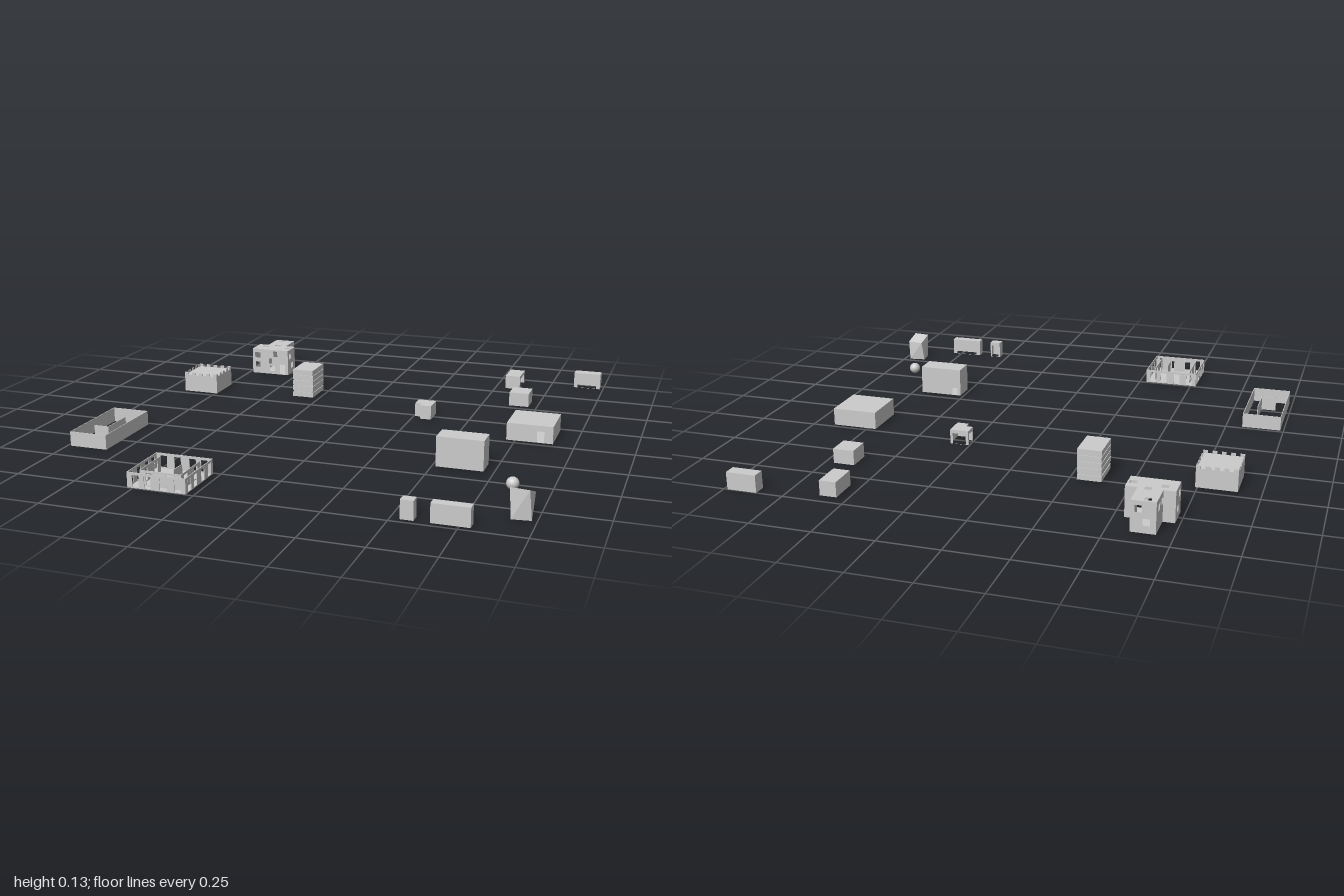
import * as THREE from 'three';
import { mergeGeometries } from 'three/addons/utils/BufferGeometryUtils.js';

const solid = new THREE.MeshStandardMaterial({ color: 0xcccccc, flatShading: true });
const thin = new THREE.MeshStandardMaterial({ color: 0xcccccc, flatShading: true, side: THREE.DoubleSide });
const smooth = new THREE.MeshStandardMaterial({ color: 0xcccccc });

const shapeOf = (pts) => new THREE.Shape(pts.map(([x, y]) => new THREE.Vector2(x, y)));

// opening = [centre, bottom, width, height]
function cut(shape, openings = []) {
  for (const [c, y, w, h] of openings) {
    const a = c - w / 2, b = c + w / 2, y0 = Math.max(y, 0.001);
    shape.holes.push(shapeOf([[a, y0], [a, y + h], [b, y + h], [b, y0]]));
  }
  return shape;
}

// Vertical panel from a to b (x, z), facing outward, with optional thickness inward
function wall(a, b, h, openings, depth = 0) {
  const dx = b[0] - a[0], dz = b[1] - a[1], len = Math.hypot(dx, dz);
  const s = cut(shapeOf([[0, 0], [len, 0], [len, h], [0, h]]), openings);
  const g = depth
    ? new THREE.ExtrudeGeometry(s, { depth, bevelEnabled: false }).translate(0, 0, -depth)
    : new THREE.ShapeGeometry(s);
  return g.rotateY(Math.atan2(-dz, dx)).translate(a[0], 0, a[1]);
}

// Horizontal panel over a footprint; hatches are [x, z, size]
function slab(pts, y, hatches = []) {
  const s = cut(shapeOf(pts.map(([x, z]) => [x, -z])), hatches.map(([x, z, w]) => [x, -z, w, w]), y);
  return new THREE.ShapeGeometry(s).rotateX(-Math.PI / 2).translate(0, y, 0);
}

// Footprint corners: edges run front, right, back, left
const rect = (x0, x1, z0, z1) => [[x0, z1], [x1, z1], [x1, z0], [x0, z0]];

function merged(name, parts) {
  const m = new THREE.Mesh(mergeGeometries(parts), thin);
  m.name = name;
  return m;
}

function building(name, pts, h, { roof = true, floor = true, holes = {}, hatches, depth } = {}) {
  const parts = pts.map((p, i) => wall(p, pts[(i + 1) % pts.length], h, holes[i], depth));
  const flats = [];
  if (roof) flats.push(slab(pts, h, hatches));
  if (floor) flats.push(slab(pts, 0));
  const g = new THREE.Group();
  g.name = name;
  g.add(merged(name + 'Walls', parts));
  if (flats.length) g.add(merged(name + 'Slabs', flats));
  return g;
}

function box(name, x0, x1, z0, z1, h) {
  const g = new THREE.BoxGeometry(x1 - x0, h, z1 - z0).translate((x0 + x1) / 2, h / 2, (z0 + z1) / 2);
  const m = new THREE.Mesh(g, solid);
  m.name = name;
  return m;
}

// Hollow shelter without floor: the listed edges are wide portals
function shelter(name, pts, h, edges) {
  const holes = {};
  for (const i of edges) {
    const a = pts[i], b = pts[(i + 1) % pts.length];
    const len = Math.hypot(b[0] - a[0], b[1] - a[1]);
    holes[i] = [[len / 2, 0, len * 0.72, h - 0.015]];
  }
  return building(name, pts, h, { floor: false, holes });
}

// Square keep with a toothed parapet on all four sides
function keep() {
  const pts = rect(-0.907, -0.741, -0.455, -0.285), h = 0.08, teeth = 5, n = 2 * teeth - 1;
  const g = building('keep', pts, h);
  const merlons = [];
  pts.forEach((a, i) => {
    const b = pts[(i + 1) % 4];
    const at = (t) => [a[0] + (b[0] - a[0]) * t, a[1] + (b[1] - a[1]) * t];
    for (let k = 0; k < teeth; k++) {
      merlons.push(wall(at(2 * k / n), at((2 * k + 1) / n), 0.012, [], 0.003).translate(0, h, 0));
    }
  });
  g.add(merged('merlons', merlons));
  return g;
}

// Tower of stacked storeys separated by narrow recesses
function storeyTower() {
  const g = new THREE.Group();
  g.name = 'storeyTower';
  const x0 = -0.381, x1 = -0.281, z0 = -0.514, z1 = -0.364, n = 5, step = 0.13 / n, e = 0.003;
  g.add(box('towerCore', x0 + e, x1 - e, z0 + e, z1 - e, 0.125));
  for (let i = 0; i < n; i++) {
    const s = box('storey', x0, x1, z0, z1, step - 0.004);
    s.position.y = i * step + (i ? 0.004 : 0);
    g.add(s);
  }
  return g;
}

// Twisted block whose top slopes down toward the back
function twistedBlock() {
  const geo = new THREE.BoxGeometry(0.074, 1, 0.068).translate(0, 0.5, 0);
  const p = geo.attributes.position;
  for (let i = 0; i < p.count; i++) {
    const x = p.getX(i), t = p.getY(i), z = p.getZ(i), a = 0.12 - 0.26 * t;
    p.setXYZ(i, x * Math.cos(a) + z * Math.sin(a), t * (0.103 + z * 0.4), z * Math.cos(a) - x * Math.sin(a));
  }
  geo.computeVertexNormals();
  const m = new THREE.Mesh(geo, solid);
  m.name = 'twistedBlock';
  m.position.set(0.939, 0, 0.812);
  return m;
}

export function createModel() {
  const model = new THREE.Group();
  model.name = 'settlement';
  const w = 0.027;

  // T-shaped house with scattered square windows
  const tee = [[-0.731, -0.705], [-0.541, -0.705], [-0.541, -0.802], [-0.588, -0.802],
    [-0.588, -0.917], [-0.684, -0.917], [-0.684, -0.802], [-0.731, -0.802]];
  model.add(building('windowedHouse', tee, 0.125, {
    holes: {
      0: [[0.028, 0.08, w, w], [0.125, 0.09, w, w], [0.09, 0.053, w, w], [0.03, 0.032, w, w],
        [0.107, 0.015, w, w], [0.16, 0, 0.028, 0.052]],
      1: [[0.028, 0.078, w, w], [0.055, 0.027, w, w]],
      3: [[0.018, 0.075, w, w], [0.066, 0.075, w, w]],
      4: [[0.03, 0.08, w, w], [0.06, 0.03, w, w]],
      5: [[0.049, 0.075, w, w], [0.097, 0.075, w, w]],
      7: [[0.069, 0.078, w, w], [0.042, 0.027, w, w]],
    },
    hatches: [[-0.648, -0.88, w], [-0.684, -0.753, w], [-0.628, -0.788, w], [-0.563, -0.743, w]],
  }));
  model.add(keep(), storeyTower());

  // Open walled yard with an L-shaped inner wall
  model.add(building('yard', rect(-0.986, -0.82, 0.266, 0.633), 0.062,
    { roof: false, floor: false, depth: 0.003 }));
  model.add(merged('yardInnerWall', [
    wall([-0.935, 0.523], [-0.869, 0.523], 0.062, [], 0.003),
    wall([-0.869, 0.523], [-0.869, 0.375], 0.062, [], 0.003),
  ]));

  // Roofless cloister with floor, rows of doorways and inner rooms
  const doors = [0.035, 0.085, 0.15, 0.21].map((c) => [c, 0.004, 0.028, 0.048]);
  const inner = [0.04, 0.125].map((c) => [c, 0.004, 0.03, 0.048]);
  const rooms = rect(-0.488, -0.315, 0.797, 0.964);
  model.add(building('cloister', rect(-0.524, -0.281, 0.757, 0.998), 0.062,
    { roof: false, holes: { 0: doors, 1: doors, 2: doors, 3: doors }, depth: 0.003 }));
  model.add(merged('cloisterInnerWalls', [
    ...[[0, 1], [1, 2], [3, 0]].map(([i, j]) => wall(rooms[i], rooms[j], 0.062, inner, 0.003)),
    wall([-0.365, 0.922], [-0.365, 0.852], 0.062, [], 0.003),
  ]));

  // Portal shelters and the small corner hut
  model.add(shelter('cornerHut', [[0.287, -0.203], [0.337, -0.203], [0.337, -0.293],
    [0.256, -0.293], [0.256, -0.235], [0.287, -0.235]], 0.062, [2, 3]));
  model.add(shelter('sideShelter', rect(0.547, 0.617, -0.949, -0.825), 0.062, [1]));
  model.add(shelter('backShelter', rect(0.86, 0.985, -1, -0.948), 0.072, [0]));
  model.add(shelter('frontShelter', rect(0.647, 0.792, 0.934, 0.975), 0.075, [2]));
  model.add(shelter('frontBooth', rect(0.537, 0.587, 0.934, 0.975), 0.075, [2]));

  // Plain closed buildings
  model.add(box('smallHouse', 0.622, 0.712, -0.636, -0.539, 0.062));
  model.add(building('wideHouse', rect(0.712, 0.909, -0.229, -0.031), 0.075,
    { holes: { 0: [[0.145, 0, 0.03, 0.05]] } }));
  model.add(building('tallHall', rect(0.515, 0.708, 0.298, 0.394), 0.125,
    { holes: { 2: [[0.165, 0, 0.025, 0.045]] } }));
  model.add(twistedBlock());

  // Ball resting on the ground
  const ball = new THREE.Mesh(new THREE.SphereGeometry(0.025, 24, 16), smooth);
  ball.name = 'ball';
  ball.position.set(0.855, 0.027, 0.557);
  model.add(ball);
  return model;
}
